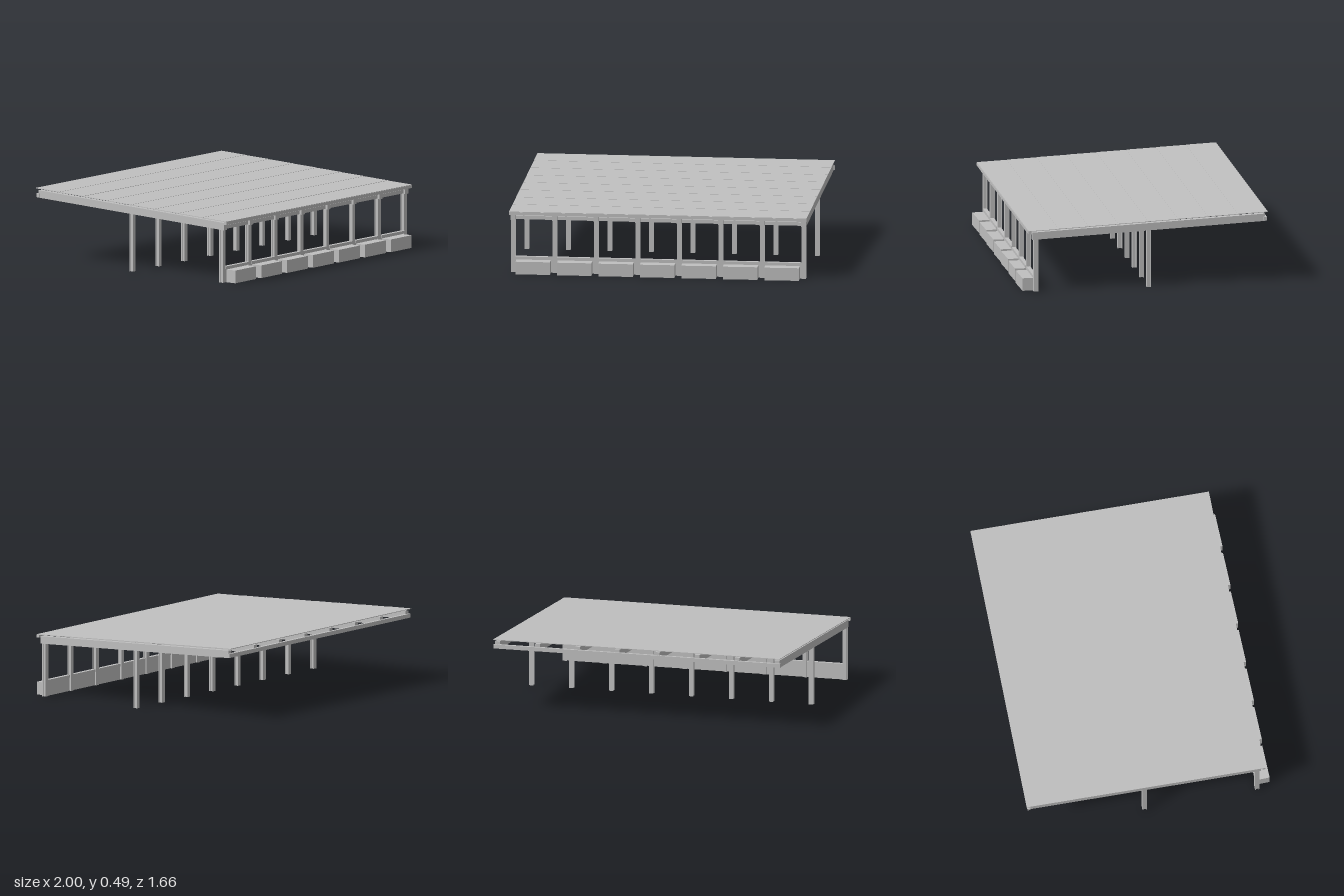
import * as THREE from 'three';

export function createModel() {
  const model = new THREE.Group();
  model.name = 'openShelter';
  const grey = new THREE.MeshStandardMaterial({ color: 0xc0c0c0 });
  grey.name = 'light grey';

  const add = (name, geometry, parent = model) => {
    const mesh = new THREE.Mesh(geometry, grey);
    mesh.name = name;
    parent.add(mesh);
    return mesh;
  };

  // Box given by its limits, optionally sheared so that it falls towards +z
  const block = (x0, x1, y0, y1, z0, z1, slope = 0) => {
    const g = new THREE.BoxGeometry(x1 - x0, y1 - y0, z1 - z0);
    g.translate((x0 + x1) / 2, (y0 + y1) / 2, (z0 + z1) / 2);
    if (slope) {
      const p = g.attributes.position;
      for (let i = 0; i < p.count; i++) p.setY(i, p.getY(i) - slope * p.getZ(i));
      g.computeVertexNormals();
    }
    return g;
  };

  // Post with two flanges joined by a web
  const postSection = new THREE.Shape();
  const w = 0.015, t = 0.006, web = 0.009;
  [[-w, -w], [w, -w], [w, -w + t], [web, -w + t], [web, w - t], [w, w - t],
    [w, w], [-w, w], [-w, w - t], [-web, w - t], [-web, -w + t], [-w, -w + t]]
    .forEach(([x, y], i) => (i ? postSection.lineTo(x, y) : postSection.moveTo(x, y)));
  const post = (name, x, z, height) => {
    const g = new THREE.ExtrudeGeometry(postSection, { depth: height, bevelEnabled: false });
    g.rotateX(-Math.PI / 2);
    add(name, g).position.set(x, 0, z);
  };

  const frames = 8, step = 0.279;
  const frontZ = 0.737, middleZ = -0.028;
  for (let i = 0; i < frames; i++) {
    const x = (i - (frames - 1) / 2) * step;
    post('frontPost', x, frontZ, 0.362);
    post('middlePost', x, middleZ, 0.391);
    add('rafter', block(x - 0.017, x + 0.017, 0.388, 0.438, -0.813, 0.763, 0.0415));

    if (i < frames - 1) {
      const a = x + w, b = x + step - w;
      // Beams between posts
      add('frontBeam', block(a, b, 0.36, 0.384, frontZ - 0.01, frontZ + 0.01));
      add('middleBeam', block(a, b, 0.392, 0.414, middleZ - 0.01, middleZ + 0.01));
      // Low wall with a top rail
      add('lowPanel', block(a, b, 0, 0.092, frontZ - 0.004, frontZ + 0.004));
      add('panelRail', block(a, b, 0.09, 0.108, frontZ - 0.008, frontZ + 0.018));
      // Trough standing slightly askew in front of each bay
      const trough = add('trough', block(-0.116, 0.116, 0, 0.086, -0.038, 0.038));
      trough.position.set(x + step / 2 - 0.001, 0, 0.788);
      trough.rotation.y = 0.025;
    }
  }

  // Long members at the eaves
  add('frontEaveRail', block(-1, 1, 0.396, 0.416, 0.77, 0.79));
  add('backEaveBeam', block(-1, 1, 0.424, 0.451, -0.826, -0.805));

  // Roof of overlapping thin panels, each lifted at its lower edge
  const panels = 8, back = -0.832, front = 0.788;
  const length = (front - back) / panels;
  for (let i = 0; i < panels; i++) {
    const z = back + (i + 0.5) * length;
    const overlap = i > 0 ? 0.012 : 0;
    const g = block(-1, 1, -0.004, 0, -length / 2 - overlap, length / 2, 0.036);
    add('roofPanel', g).position.set(0, 0.452 - 0.043 * z, z);
  }
  return model;
}
